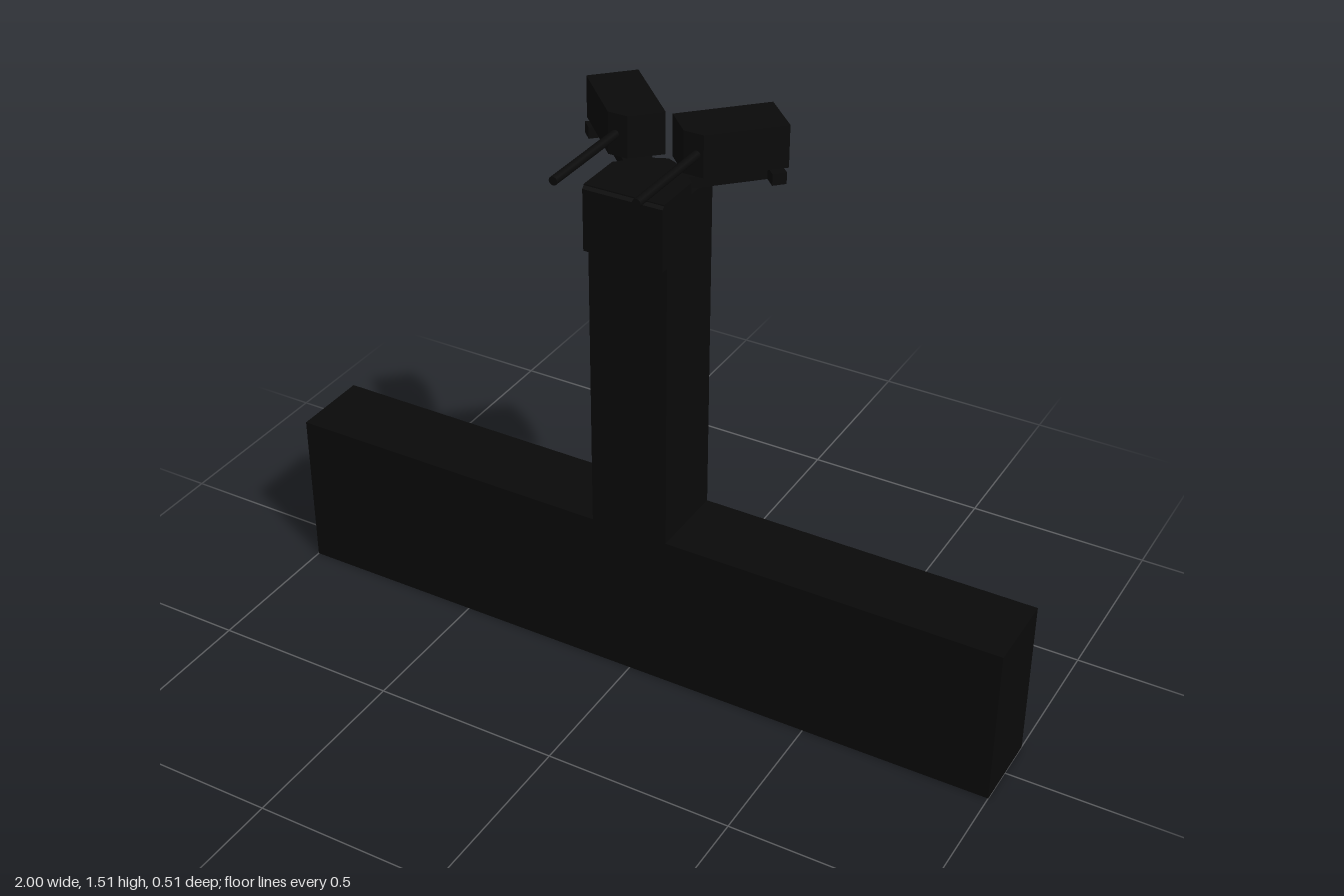
import * as THREE from 'three';

const black = new THREE.MeshStandardMaterial({ color: 0x0a0a0a });

function add(parent, name, geometry, x = 0, y = 0, z = 0) {
  const mesh = new THREE.Mesh(geometry, black);
  mesh.name = name;
  mesh.position.set(x, y, z);
  parent.add(mesh);
  return mesh;
}

// Flat plate from an [x, z] outline, rising from y = 0
function plate(points, height) {
  const shape = new THREE.Shape(points.map(([x, z]) => new THREE.Vector2(x, -z)));
  return new THREE.ExtrudeGeometry(shape, { depth: height, bevelEnabled: false }).rotateX(-Math.PI / 2);
}

export function createModel() {
  const model = new THREE.Group();
  model.name = 'postWithAngledHeads';

  // Long base beam and upright post
  add(model, 'baseBeam', new THREE.BoxGeometry(2, 0.435, 0.215), 0, 0.2175, -0.003);
  add(model, 'post', new THREE.BoxGeometry(0.21, 0.92, 0.215), 0, 0.895, -0.003);

  const bracket = new THREE.Group();
  bracket.name = 'topBracket';
  bracket.position.x = 0.005;
  model.add(bracket);

  // Cap plate with a pointed back, and the flange folded down over the post
  add(bracket, 'capPlate', plate([
    [-0.105, 0.128], [0.105, 0.128], [0.105, 0], [0.045, -0.06], [0, -0.08], [-0.045, -0.06], [-0.105, 0],
  ], 0.03), 0, 1.36, 0);
  const flange = new THREE.Shape([[0.09, 1.22], [0.135, 1.22], [0.135, 1.38], [0.125, 1.39], [0.09, 1.39]]
    .map(([z, y]) => new THREE.Vector2(-z, y)));
  add(bracket, 'frontFlange', new THREE.ExtrudeGeometry(flange, { depth: 0.21, bevelEnabled: false })
    .rotateY(Math.PI / 2), -0.105);

  for (const side of [1, -1]) {
    const label = side > 0 ? 'left' : 'right';

    // Each arm points outward and back; its local x runs along the arm
    const arm = new THREE.Group();
    arm.name = label + 'Arm';
    arm.rotation.y = side > 0 ? Math.PI / 4 : Math.PI * 3 / 4;
    bracket.add(arm);

    // Head block, with its inner front corner cut off
    const head = [[0.064, -0.051], [0.306, -0.051], [0.306, 0.077], [0.101, 0.077], [0.064, 0.04]];
    add(arm, label + 'Head', plate(head.map(([u, v]) => [u, side * v]), 0.108), 0, 1.398, 0);

    // Support strip and crossbar under the head
    add(arm, label + 'Support', new THREE.BoxGeometry(0.27, 0.03, 0.07), 0.165, 1.375, side * 0.013);
    add(arm, label + 'Crossbar', new THREE.BoxGeometry(0.035, 0.03, 0.125), 0.282, 1.375, side * 0.021);

    // Rod reaching forward from the head
    add(bracket, label + 'Rod', new THREE.CylinderGeometry(0.011, 0.011, 0.33, 16).rotateX(Math.PI / 2),
      side * 0.107, 1.453, 0.09);
  }
  return model;
}
